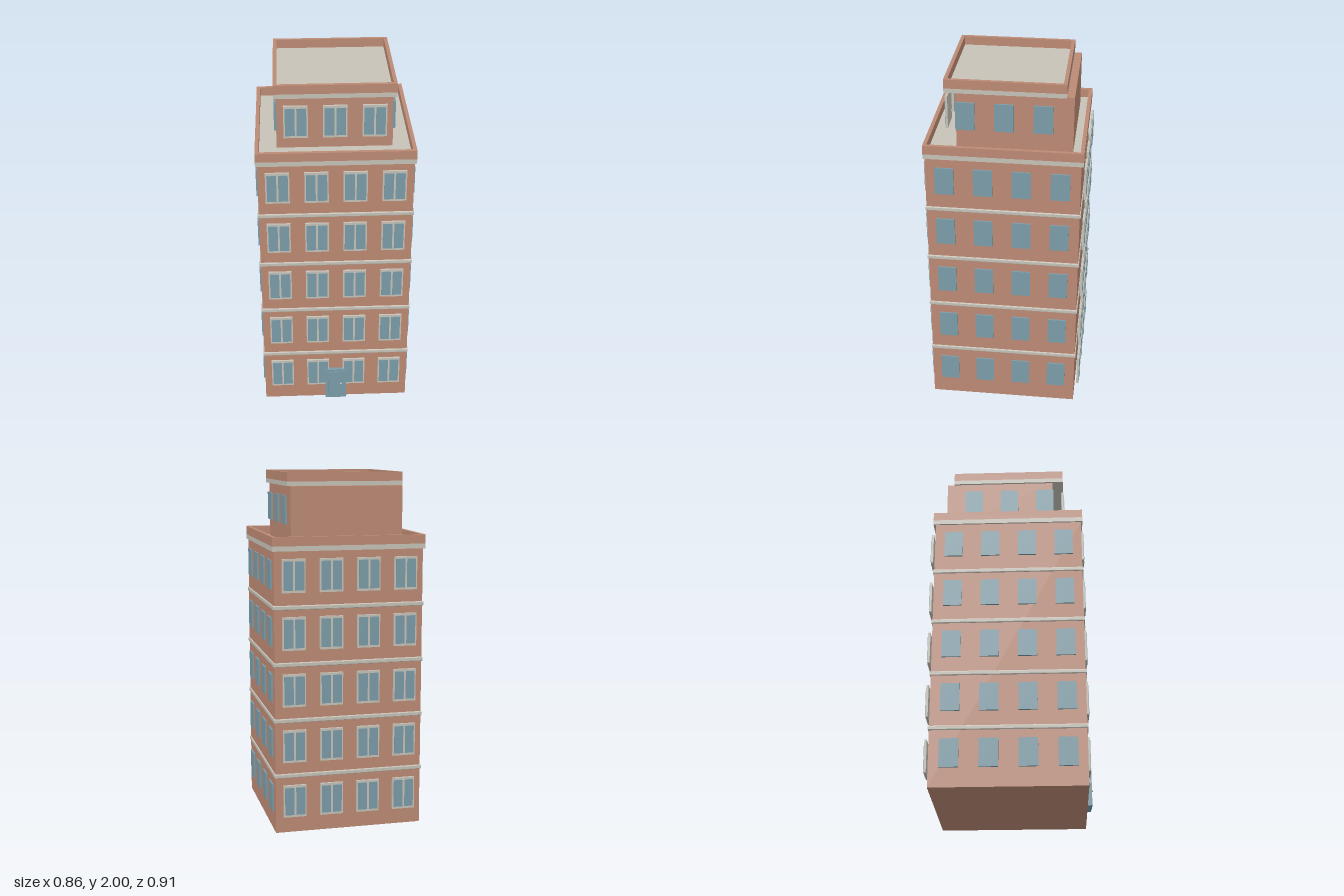
import * as THREE from 'three';

const material = (name, color) => {
  const m = new THREE.MeshStandardMaterial({ color });
  m.name = name;
  return m;
};

export function createModel() {
  const brick = material('brick', 0xbc8a74);
  const stone = material('pale stone', 0xc6c2b8);
  const glass = material('blue glass', 0x7b9ca8);

  const model = new THREE.Group();
  model.name = 'apartmentTower';

  const add = (parent, name, geometry, mat) => {
    const mesh = new THREE.Mesh(geometry, mat);
    mesh.name = name;
    parent.add(mesh);
    return mesh;
  };

  // Box given by its limits on each axis
  const box = (parent, name, mat, [x0, x1], [y0, y1], [z0, z1]) => {
    const mesh = add(parent, name, new THREE.BoxGeometry(x1 - x0, y1 - y0, z1 - z0), mat);
    mesh.position.set((x0 + x1) / 2, (y0 + y1) / 2, (z0 + z1) / 2);
    return mesh;
  };

  const rectangle = (path, x, z0, z1) =>
    path.moveTo(-x, -z1).lineTo(x, -z1).lineTo(x, -z0).lineTo(-x, -z0).closePath();

  // Horizontal slab, optionally hollow and with chamfered edges
  const slab = (name, mat, y, height, x, z0, z1, wall = 0, bevel = 0) => {
    const shape = new THREE.Shape();
    rectangle(shape, x - bevel, z0 + bevel, z1 - bevel);
    if (wall) {
      const hole = new THREE.Path();
      rectangle(hole, x - wall, z0 + wall, z1 - wall);
      shape.holes.push(hole);
    }
    const geometry = new THREE.ExtrudeGeometry(shape, {
      depth: height - 2 * bevel, bevelEnabled: bevel > 0,
      bevelSize: bevel, bevelThickness: bevel, bevelSegments: 2,
    });
    geometry.rotateX(-Math.PI / 2);
    return add(model, name, geometry.translate(0, y + bevel, 0), mat);
  };

  // Framed double window facing +z, its back at z = 0
  const framedWindow = (name, x, y, z, turned) => {
    const g = new THREE.Group();
    g.name = name;
    box(g, 'windowFrame', stone, [-0.065, 0.065], [-0.092, 0.092], [0, 0.013]);
    for (const s of [-1, 1]) {
      const pane = box(g, 'windowPane', glass, [-0.026, 0.026], [-0.079, 0.079], [0.012, 0.016]);
      pane.position.x = s * 0.031;
    }
    box(g, 'mullion', stone, [-0.005, 0.005], [-0.079, 0.079], [0.012, 0.018]);
    g.position.set(x, y, z);
    if (turned) g.rotation.y = Math.PI;
    model.add(g);
  };

  // Plain panes mirrored on both side walls
  const sidePanes = (x0, x1, y, z) => {
    for (const s of [-1, 1]) {
      const pane = box(model, 'sideWindow', glass, [x0, x1], [y - 0.079, y + 0.079], [z - 0.052, z + 0.052]);
      pane.position.x *= s;
    }
  };

  // Main block with bands between the storeys
  box(model, 'mainWalls', brick, [-0.42, 0.42], [0, 1.585], [-0.423, 0.418]);
  for (let i = 0; i < 4; i++) {
    slab('storeyBand', stone, 0.316 + i * 0.3155, 0.025, 0.426, -0.429, 0.424, 0, 0.005);
  }
  slab('mainRoof', stone, 1.583, 0.027, 0.43, -0.436, 0.426);
  slab('mainParapet', brick, 1.61, 0.05, 0.43, -0.436, 0.426, 0.021);

  // Windows of the five main storeys
  const columns = [-0.315, -0.105, 0.105, 0.315];
  for (let floor = 0; floor < 5; floor++) {
    const y = 0.187 + floor * 0.316;
    for (const c of columns) {
      framedWindow('frontWindow', c, y, 0.416, false);
      framedWindow('backWindow', c, y, -0.437, true);
      sidePanes(0.415, 0.43, y, c);
    }
  }

  // Penthouse, set back beneath its overhanging roof
  box(model, 'penthouseWalls', brick, [-0.314, 0.314], [1.605, 1.926], [-0.371, 0.259]);
  slab('penthouseRoof', stone, 1.925, 0.025, 0.325, -0.331, 0.32);
  slab('penthouseParapet', brick, 1.95, 0.05, 0.325, -0.331, 0.32, 0.02);
  for (const c of [-0.21, 0, 0.21]) {
    framedWindow('penthouseWindow', c, 1.79, 0.31, false);
    sidePanes(0.31, 0.325, 1.793, c);
  }

  // Entrance door with a knob
  box(model, 'doorFrame', glass, [-0.063, 0.061], [0, 0.21], [0.415, 0.439]);
  box(model, 'doorPanel', glass, [-0.046, 0.044], [0.01, 0.195], [0.438, 0.444]);
  const knob = add(model, 'doorKnob', new THREE.SphereGeometry(0.006, 12, 8), stone);
  knob.position.set(0.03, 0.11, 0.447);

  return model;
}
